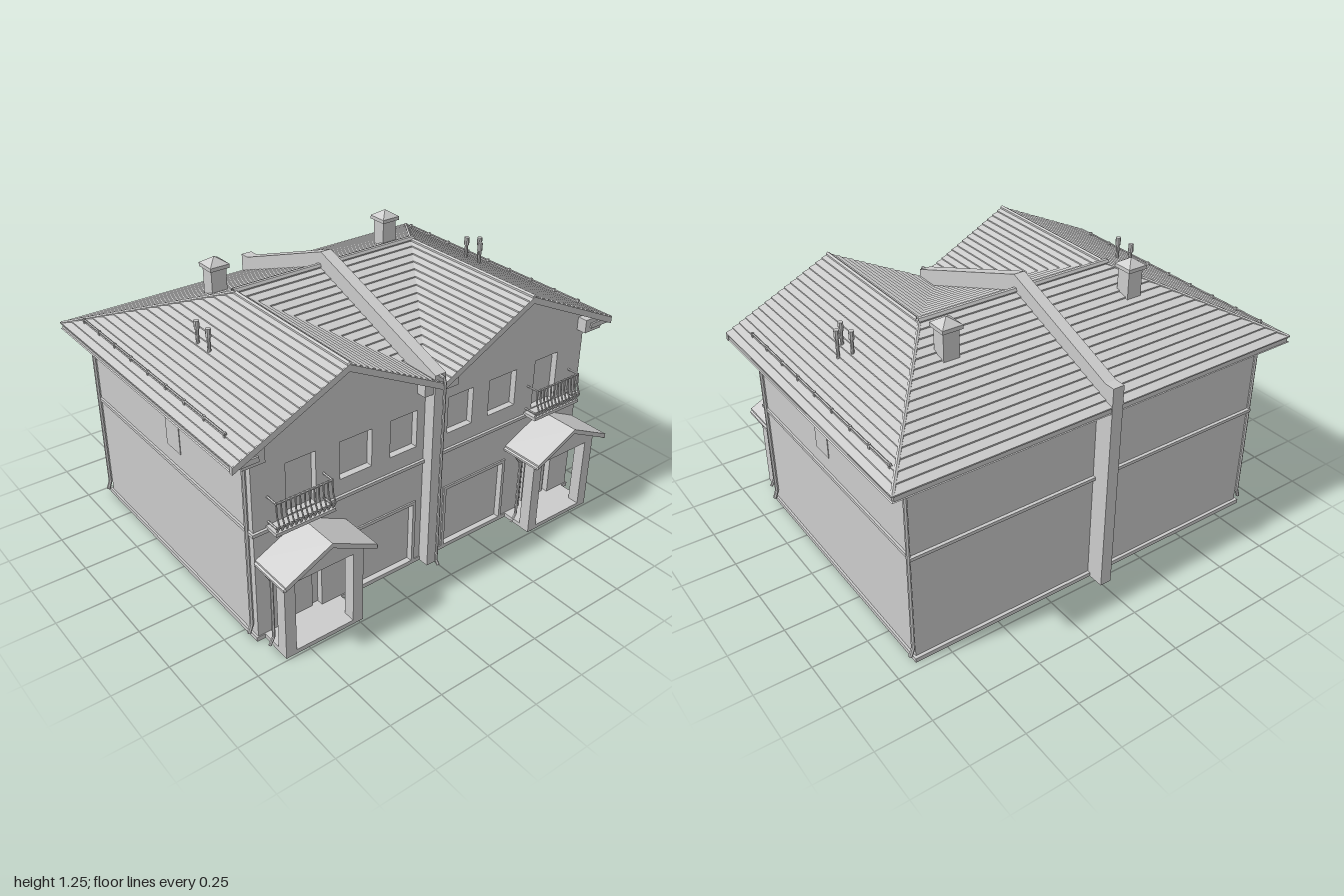
import * as THREE from 'three';

const mat = new THREE.MeshStandardMaterial({ color: 0xcccccc, flatShading: true, side: THREE.DoubleSide });
const V = (x, y, z) => new THREE.Vector3(x, y, z);
const EAVE = 0.91, RIDGE = 1.155, RX = 0.48, RZ = -0.14, FRONT = 0.65, BACK = -0.79;

export function createModel() {
  const root = new THREE.Group();
  const add = (name, geo) => {
    const m = new THREE.Mesh(geo, mat);
    m.name = name;
    root.add(m);
    return m;
  };
  // box given by its limits on each axis
  const box = (name, x0, x1, y0, y1, z0, z1) =>
    add(name, new THREE.BoxGeometry(Math.abs(x1 - x0), y1 - y0, z1 - z0)
      .translate((x0 + x1) / 2, (y0 + y1) / 2, (z0 + z1) / 2));
  const poly = pts => new THREE.Shape(pts.map(p => new THREE.Vector2(...p)));
  const extrude = (name, shape, z0, z1) =>
    add(name, new THREE.ExtrudeGeometry(shape, { depth: z1 - z0, bevelEnabled: false }).translate(0, 0, z0));
  // straight round bar between two points
  const bar = (name, a, b, r, sides = 6) =>
    add(name, new THREE.TubeGeometry(new THREE.LineCurve3(a, b), 1, r, sides));
  // bent pipe through several points
  const pipe = (name, pts, r = 0.009) => {
    const path = new THREE.CurvePath();
    for (let i = 1; i < pts.length; i++) path.add(new THREE.LineCurve3(pts[i - 1], pts[i]));
    add(name, new THREE.TubeGeometry(path, 40, r, 6));
  };
  // roof slope of overlapping tile courses, from lower edge a-b to upper edge d-c
  const slope = (name, a, b, c, d, n = 16, lift = 0.006) => {
    const pos = [];
    const quad = (p, q, r, s) => [p, q, r, p, r, s].forEach(v => pos.push(v.x, v.y, v.z));
    for (let i = 0; i < n; i++) {
      const l0 = a.clone().lerp(d, i / n), r0 = b.clone().lerp(c, i / n);
      const l1 = a.clone().lerp(d, (i + 1) / n), r1 = b.clone().lerp(c, (i + 1) / n);
      const up = V(0, lift, 0);
      const lu = l0.clone().add(up), ru = r0.clone().add(up);
      quad(l0, r0, ru, lu);
      quad(lu, ru, r1, l1);
    }
    const g = new THREE.BufferGeometry();
    g.setAttribute('position', new THREE.Float32BufferAttribute(pos, 3));
    g.computeVertexNormals();
    add(name, g);
  };

  // main body and plinth
  box('body', -0.89, 0.89, 0, 0.885, -0.7, 0.555);
  box('plinth', -0.9, 0.9, 0, 0.02, -0.715, 0.59);

  // front wall with twin gables and openings
  const roofY = x => EAVE + (RIDGE - EAVE) * (1 - Math.abs(Math.abs(x) - RX) / (Math.abs(x) > RX ? 1 - RX : RX));
  const wall = poly([[-0.89, 0], [0.89, 0], [0.89, roofY(0.89) - 0.02], [RX, RIDGE - 0.02],
    [0, EAVE - 0.02], [-RX, RIDGE - 0.02], [-0.89, roofY(0.89) - 0.02]]);
  const openings = [
    [0.08, 0.45, 0.02, 0.335], [0.085, 0.225, 0.61, 0.785],
    [0.32, 0.48, 0.61, 0.785], [0.595, 0.735, 0.55, 0.79], [0.575, 0.765, 0.02, 0.355],
  ];
  for (const s of [-1, 1]) for (const [x0, x1, y0, y1] of openings)
    wall.holes.push(new THREE.Path([[x0, y0], [x0, y1], [x1, y1], [x1, y0]].map(([x, y]) => new THREE.Vector2(s * x, y))));
  extrude('frontWall', wall, 0.555, 0.585);

  // floor band round the house
  box('floorBandFront', -0.9, 0.9, 0.52, 0.535, 0.58, 0.597);
  box('floorBandBack', -0.9, 0.9, 0.52, 0.535, -0.715, -0.69);

  // wall dividing the two homes, rising through the roof
  const party = poly([[0.64, 0], [0.64, 0.955], [-0.13, 1.23], [-0.74, 1.0], [BACK, 1.0], [BACK, 0]]);
  add('partyWall', new THREE.ExtrudeGeometry(party, { depth: 0.055, bevelEnabled: false })
    .rotateY(-Math.PI / 2).translate(0.01, 0, 0));
  pipe('partyWallDownpipe', [V(-0.02, 0.95, 0.64), V(-0.02, 0.95, 0.67), V(-0.02, 0.04, 0.67), V(-0.02, 0.02, 0.685)], 0.007);

  // main roof slopes, each with a plain underside
  for (const [label, drop, n, lift] of [['roof', 0, 16, 0.006], ['roofUnderside', -0.025, 1, 0]]) {
    const E = EAVE + drop, R = RIDGE + drop;
    for (const s of [-1, 1]) {
      slope(label + 'Side', V(s, E, FRONT), V(s, E, BACK), V(s * RX, R, RZ), V(s * RX, R, FRONT), n, lift);
      slope(label + 'Inner', V(0, E, FRONT), V(0, E, 0.53), V(s * RX, R, RZ), V(s * RX, R, FRONT), n, lift);
    }
    slope(label + 'Back', V(-1, E, BACK), V(1, E, BACK), V(RX, R, RZ), V(-RX, R, RZ), n, lift);
    slope(label + 'Middle', V(0, E, 0.53), V(0, E, 0.53), V(RX, R, RZ), V(-RX, R, RZ), n, lift);
  }
  bar('middleRidgeCap', V(-RX - 0.01, RIDGE + 0.006, RZ), V(RX + 0.01, RIDGE + 0.006, RZ), 0.014);
  // eaves along the back
  box('backSoffit', -0.99, 0.99, 0.885, 0.908, -0.785, -0.69);
  box('backCornice', -0.94, 0.94, 0.865, 0.887, -0.75, -0.69);

  for (const s of [-1, 1]) {
    const X = x => s * x;

    // ridge and hip caps, rake boards
    bar('ridgeCap', V(X(RX), RIDGE, FRONT), V(X(RX), RIDGE, RZ), 0.011);
    bar('hipCap', V(X(RX), RIDGE, RZ), V(X(0.995), EAVE + 0.002, BACK + 0.006), 0.009);
    extrude('rakeBoard', poly([[X(1), EAVE], [X(RX), RIDGE], [0, EAVE], [0, EAVE - 0.03],
      [X(RX), RIDGE - 0.03], [X(1), EAVE - 0.03]]), 0.632, FRONT);

    // side eaves, returns and gutter
    box('sideSoffit', X(0.88), X(0.99), 0.885, 0.908, -0.785, 0.64);
    box('sideCornice', X(0.88), X(0.945), 0.865, 0.887, -0.75, 0.62);
    box('eaveReturn', X(0.85), X(0.95), 0.867, 0.93, 0.58, 0.632);
    box('innerReturn', X(0.01), X(0.09), 0.867, 0.92, 0.58, 0.632);
    bar('gutter', V(X(0.985), 0.895, 0.64), V(X(0.985), 0.895, -0.78), 0.012);

    // snow guard on posts
    bar('snowGuard', V(X(0.935), 0.955, 0.51), V(X(0.935), 0.955, -0.68), 0.005);
    for (let i = 0; i < 9; i++) {
      const z = 0.5 - i * 0.146;
      box('snowGuardPost', X(0.93), X(0.94), 0.93, 0.962, z - 0.005, z + 0.005);
    }

    // side wall details
    box('floorBandSide', X(0.88), X(0.9), 0.52, 0.535, -0.715, 0.597);
    box('sideWindow', X(0.88), X(0.893), 0.61, 0.785, -0.06, 0.05);

    // corner downpipes
    for (const z of [0.555, -0.7])
      pipe('cornerDownpipe', [V(X(0.965), 0.875, z), V(X(0.955), 0.85, z), V(X(0.9), 0.825, z),
        V(X(0.9), 0.07, z), V(X(0.915), 0.03, z)]);

    // garage: frame, recessed door
    box('garageFrameTop', X(0.08), X(0.45), 0.32, 0.335, 0.555, 0.592);
    box('garageFrameOuter', X(0.435), X(0.45), 0.02, 0.32, 0.555, 0.592);
    box('garageFrameInner', X(0.08), X(0.095), 0.02, 0.32, 0.555, 0.592);
    box('garageDoor', X(0.095), X(0.435), 0.02, 0.32, 0.55, 0.563);
    box('entranceDoor', X(0.61), X(0.75), 0.02, 0.35, 0.55, 0.567);

    // entrance porch
    box('porchFloor', X(0.48), X(0.86), 0, 0.02, 0.58, 0.74);
    for (const x of [0.48, 0.81]) {
      box('porchPillar', X(x), X(x + 0.05), 0, 0.39, 0.685, 0.74);
      box('porchSideBeam', X(x), X(x + 0.05), 0.36, 0.395, 0.58, 0.74);
    }
    extrude('porchGable', poly([[X(0.48), 0.36], [X(0.86), 0.36], [X(0.86), 0.395], [X(0.67), 0.487], [X(0.48), 0.395]]), 0.695, 0.74);
    extrude('porchRoof', poly([[X(0.885), 0.405], [X(0.667), 0.51], [X(0.45), 0.405],
      [X(0.45), 0.383], [X(0.667), 0.488], [X(0.885), 0.383]]), 0.58, 0.79);
    for (const [x, inX] of [[0.885, 0.865], [0.45, 0.475]]) {
      bar('porchGutter', V(X(x), 0.388, 0.585), V(X(x), 0.388, 0.785), 0.009);
      pipe('porchDownpipe', [V(X(x), 0.38, 0.66), V(X(inX), 0.345, 0.66), V(X(inX), 0.06, 0.66), V(X(x), 0.025, 0.66)], 0.007);
    }

    // balcony with bowed railing
    box('balconySlab', X(0.55), X(0.83), 0.53, 0.545, 0.58, 0.655);
    for (const y of [0.56, 0.675])
      pipe('balconyRail', [V(X(0.56), y, 0.585), V(X(0.56), y, 0.645), V(X(0.82), y, 0.645), V(X(0.82), y, 0.585)], 0.005);
    for (let i = 0; i <= 12; i++) {
      const x = X(0.56 + i * 0.26 / 12);
      pipe('balconyBaluster', [V(x, 0.545, 0.645), V(x, 0.58, 0.665), V(x, 0.62, 0.648), V(x, 0.68, 0.645)], 0.004);
    }

    // chimney with pyramid cap
    box('chimney', X(0.43), X(0.505), 1.02, 1.205, -0.355, -0.285);
    box('chimneyCapSlab', X(0.42), X(0.515), 1.205, 1.222, -0.368, -0.272);
    add('chimneyCap', new THREE.ConeGeometry(0.067, 0.032, 4).rotateY(Math.PI / 4).translate(X(0.467), 1.238, -0.32));

    // roof vents
    const vents = [[0.73, -0.03], [0.73, 0.06]];
    if (s > 0) vents.push([0.775, 0.01]);
    for (const [x, z] of vents) {
      bar('ventPipe', V(X(x), 1.0, z), V(X(x), 1.11, z), 0.008, 8);
      bar('ventCap', V(X(x), 1.105, z), V(X(x), 1.143, z), 0.012, 8);
      add('ventCapTop', new THREE.CircleGeometry(0.012, 8).rotateX(-Math.PI / 2).translate(X(x), 1.143, z));
    }
  }
  return root;
}
